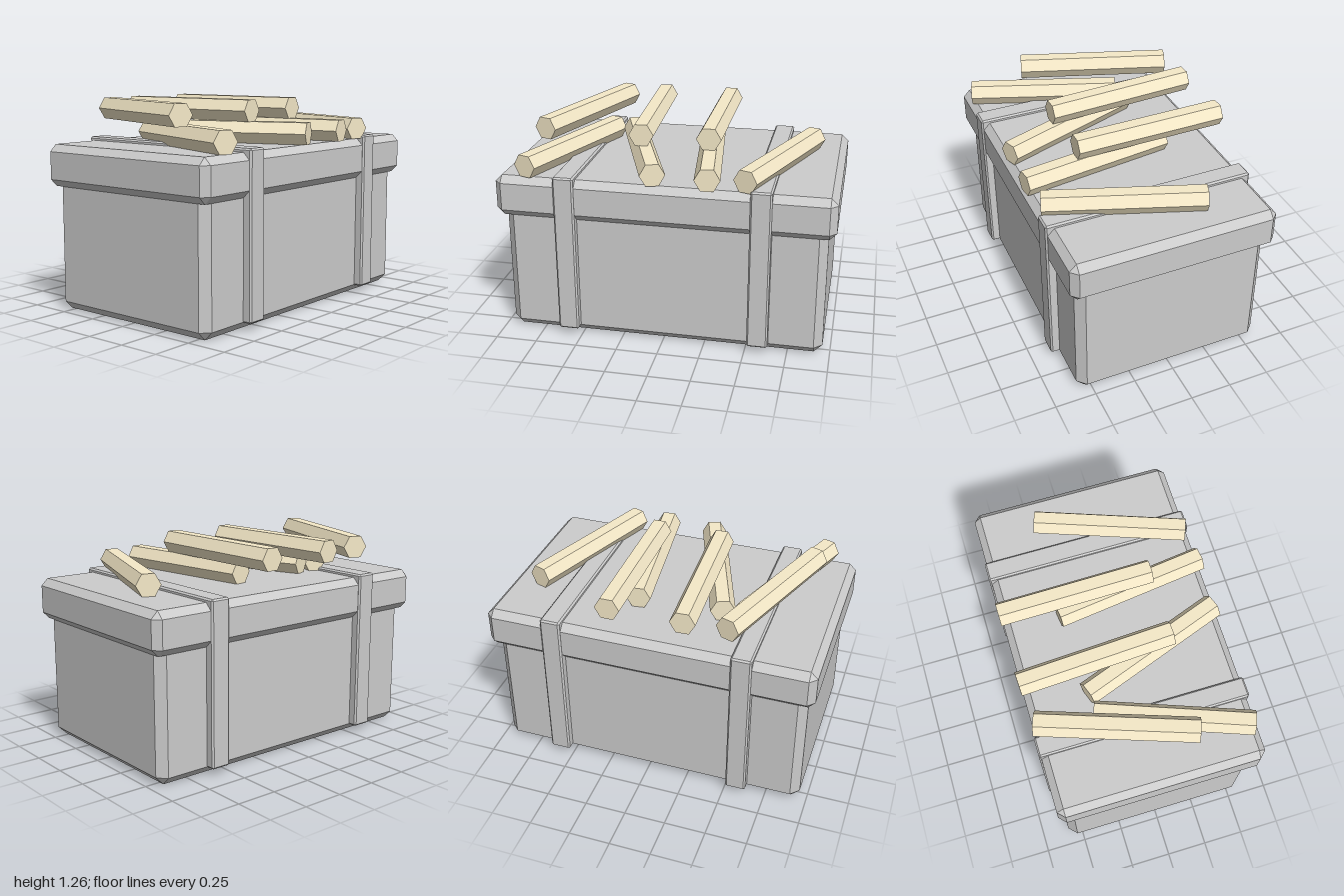
import * as THREE from 'three';
import { ConvexGeometry } from 'three/addons/geometries/ConvexGeometry.js';

// Box between two heights with all edges chamfered by c
function chamferedBox(name, halfX, y0, y1, halfZ, c, material) {
  const half = [halfX, (y1 - y0) / 2, halfZ];
  const points = [];
  for (let axis = 0; axis < 3; axis++) {
    for (const sx of [-1, 1]) for (const sy of [-1, 1]) for (const sz of [-1, 1]) {
      const p = [sx, sy, sz].map((s, i) => s * (i === axis ? half[i] : half[i] - c));
      points.push(new THREE.Vector3(...p));
    }
  }
  const mesh = new THREE.Mesh(new ConvexGeometry(points), material);
  mesh.name = name;
  mesh.position.y = (y0 + y1) / 2;
  return mesh;
}

// Six-sided stick lying flat between two end points (x, z)
function stick(name, [x0, z0, x1, z1], y, material) {
  const length = Math.hypot(x1 - x0, z1 - z0);
  const geometry = new THREE.CylinderGeometry(0.075, 0.075, length, 6);
  geometry.rotateY(Math.PI / 2).rotateX(Math.PI / 2);
  const mesh = new THREE.Mesh(geometry, material);
  mesh.name = name;
  mesh.position.set((x0 + x1) / 2, y, (z0 + z1) / 2);
  mesh.rotation.y = Math.atan2(x0 - x1, z0 - z1);
  return mesh;
}

export function createModel() {
  const grey = new THREE.MeshStandardMaterial({ color: 0xcccccc, flatShading: true });
  const tan = new THREE.MeshStandardMaterial({ color: 0xf5e9c8, flatShading: true });
  const model = new THREE.Group();
  model.name = 'crateWithSticks';

  // Crate and overhanging lid
  model.add(chamferedBox('crateBody', 0.955, 0, 0.9, 0.585, 0.05, grey));
  model.add(chamferedBox('lid', 1, 0.75, 1, 0.627, 0.042, grey));

  // Two straps wrapping the crate from front to back
  for (const side of [-1, 1]) {
    const strap = chamferedBox(side < 0 ? 'rightStrap' : 'leftStrap', 0.062, 0.045, 1.022, 0.638, 0.01, grey);
    strap.position.x = side * 0.575;
    model.add(strap);
  }

  // Sticks in two layers: front x, front z, back x, back z
  const lower = [
    [-0.81, 0.604, -0.487, -0.267],
    [-0.05, 0.604, -0.365, -0.27],
    [0.268, 0.625, 0.15, -0.297],
    [0.479, 0.604, 0.796, -0.27],
  ];
  const upper = [
    [-0.79, 0.267, -0.485, -0.615],
    [-0.19, 0.291, -0.237, -0.638],
    [0.217, 0.291, 0.207, -0.64],
  ];
  const sticks = new THREE.Group();
  sticks.name = 'sticks';
  lower.forEach((ends, i) => sticks.add(stick(`lowerStick${i + 1}`, ends, 1.066, tan)));
  upper.forEach((ends, i) => sticks.add(stick(`upperStick${i + 1}`, ends, 1.195, tan)));
  model.add(sticks);

  return model;
}
